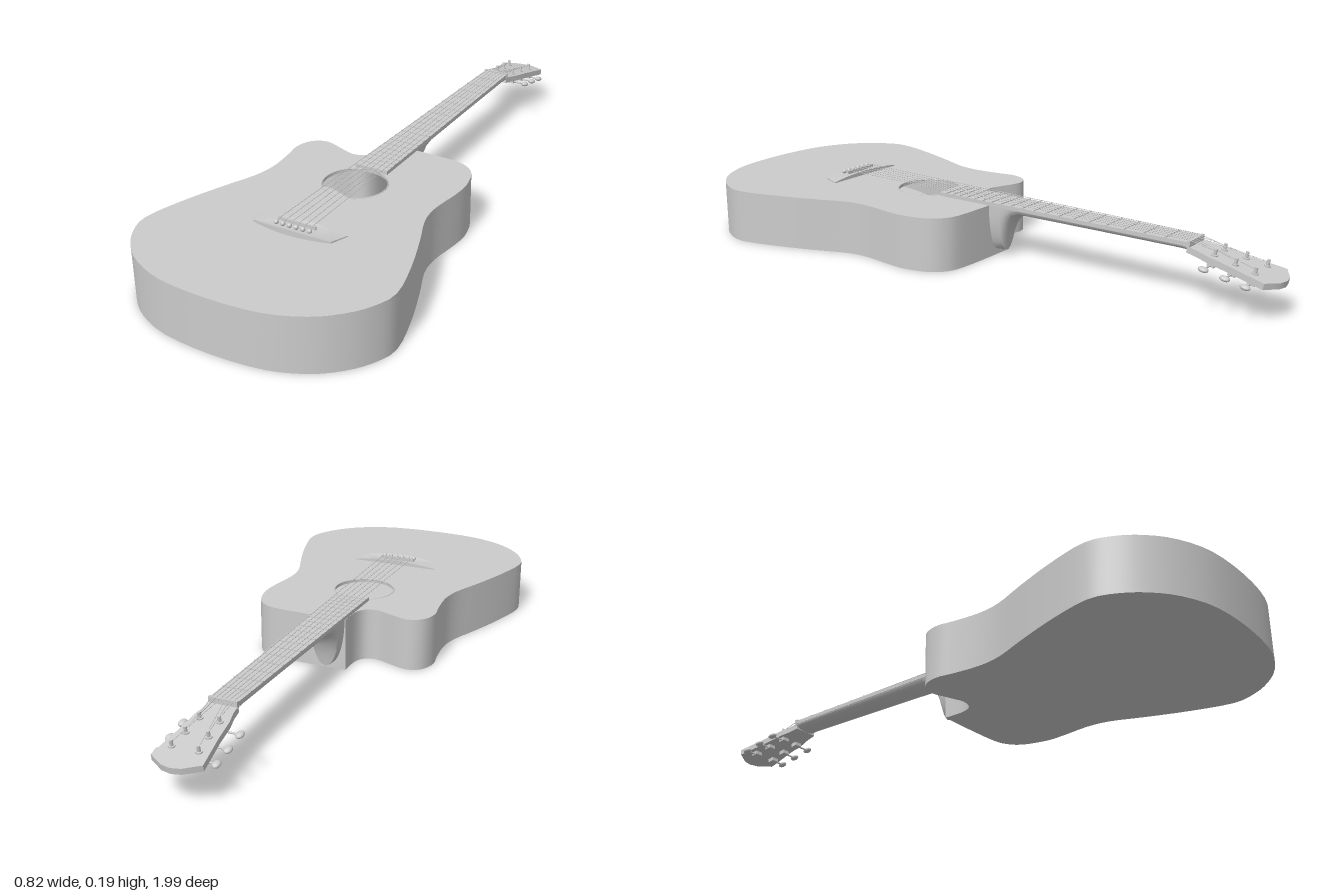
import * as THREE from 'three';
import { toCreasedNormals } from 'three/addons/utils/BufferGeometryUtils.js';

const material = new THREE.MeshStandardMaterial({ color: 0xcccccc, side: THREE.DoubleSide });
const TOP = 0.172, NUT_Z = -0.715, SADDLE_Z = 0.58, HOLE_Z = 0.27;

function add(parent, name, geometry, x = 0, y = 0, z = 0) {
  const mesh = new THREE.Mesh(geometry, material);
  mesh.name = name;
  mesh.position.set(x, y, z);
  parent.add(mesh);
  return mesh;
}

// Flat plate lying in the xz plane, drawn with shape y = -z
function plate(shape, thickness, y) {
  const g = new THREE.ExtrudeGeometry(shape, { depth: thickness, bevelEnabled: false, curveSegments: 32 });
  return toCreasedNormals(g.rotateX(-Math.PI / 2).translate(0, y, 0), 0.6);
}

function rod(parent, name, a, b, radius, sides = 6) {
  const d = b.clone().sub(a);
  const mesh = add(parent, name, new THREE.CylinderGeometry(radius, radius, d.length(), sides));
  mesh.position.copy(a).addScaledVector(d, 0.5);
  mesh.quaternion.setFromUnitVectors(new THREE.Vector3(0, 1, 0), d.normalize());
}

// Skin through rings of equal point count, with both ends capped
function loft(rings) {
  const n = rings[0].length, pos = rings.flat(2), idx = [];
  for (let r = 0; r < rings.length - 1; r++)
    for (let i = 0; i < n; i++) {
      const a = r * n + i, b = r * n + (i + 1) % n;
      idx.push(a, a + n, b, b, a + n, b + n);
    }
  const last = (rings.length - 1) * n;
  for (let i = 1; i < n - 1; i++) idx.push(0, i, i + 1, last, last + i + 1, last + i);
  const g = new THREE.BufferGeometry();
  g.setAttribute('position', new THREE.Float32BufferAttribute(pos, 3));
  g.setIndex(idx);
  return toCreasedNormals(g, 0.7);
}

function buildBody(parent) {
  // Outline with a cutaway on one side of the neck, as x, z pairs
  const outline = new THREE.SplineCurve([
    [-0.055, -0.02], [-0.056, 0.05], [-0.075, 0.09], [-0.115, 0.1], [-0.16, 0.085], [-0.23, 0.062],
    [-0.278, 0.085], [-0.297, 0.14], [-0.288, 0.2], [-0.28, 0.29], [-0.292, 0.37], [-0.333, 0.475],
    [-0.38, 0.61], [-0.41, 0.74], [-0.387, 0.82], [-0.34, 0.885], [-0.27, 0.94], [-0.16, 0.982], [0, 0.995],
    [0.16, 0.982], [0.27, 0.94], [0.34, 0.885], [0.387, 0.82], [0.41, 0.74], [0.38, 0.61], [0.333, 0.475],
    [0.292, 0.37], [0.283, 0.29], [0.295, 0.19], [0.297, 0.12], [0.275, 0.04], [0.235, 0], [0.18, -0.015],
    [0.055, -0.02],
  ].map(([x, z]) => new THREE.Vector2(x, -z))).getPoints(99);

  const soundboard = new THREE.Shape(outline);
  soundboard.holes.push(new THREE.Path().absarc(0, -HOLE_Z, 0.1, 0, Math.PI * 2, true));
  add(parent, 'soundboard', plate(soundboard, 0.01, TOP - 0.01));
  add(parent, 'back', plate(new THREE.Shape(outline), 0.006, 0));

  // Side wall: a strip bent around the outline
  const loop = [...outline, outline[0]];
  const wall = new THREE.PlaneGeometry(1, 1, loop.length - 1, 1);
  const p = wall.attributes.position;
  for (let i = 0; i < p.count; i++) {
    const v = loop[i % loop.length];
    p.setXYZ(i, v.x, i < loop.length ? TOP : 0, -v.y);
  }
  add(parent, 'sides', toCreasedNormals(wall, 0.6));
  const rosette = add(parent, 'soundHoleRim', new THREE.TorusGeometry(0.1, 0.002, 6, 48), 0, TOP, HOLE_Z);
  rosette.rotation.x = Math.PI / 2;
}

function buildNeck(parent) {
  // z, half width, underside height: from the heel out to the nut
  const stations = [
    [-0.012, 0.052, 0.015], [-0.055, 0.051, 0.02], [-0.064, 0.051, 0.06], [-0.078, 0.051, 0.1],
    [-0.098, 0.05, 0.132], [-0.13, 0.05, 0.15], [-0.4, 0.046, 0.152], [-0.69, 0.043, 0.154], [-0.735, 0.043, 0.153],
  ];
  add(parent, 'neck', loft(stations.map(([z, w, low]) => {
    const ring = [], top = z < -0.72 ? 0.168 : TOP + 0.001;
    for (let i = 0; i <= 14; i++) {
      const a = Math.PI * i / 14;
      ring.push([w * Math.cos(a), top - (top - low) * Math.sin(a), z]);
    }
    return ring;
  })));

  // Tapered fingerboard with frets at equal-tempered spacing
  const halfWidth = z => 0.043 + 0.013 * (z - NUT_Z) / 0.89;
  const board = new THREE.Shape([[-1, 0.175], [1, 0.175], [1, NUT_Z], [-1, NUT_Z]]
    .map(([s, z]) => new THREE.Vector2(s * halfWidth(z), -z)));
  add(parent, 'fingerboard', plate(board, 0.012, TOP));
  for (let n = 1; n <= 19; n++) {
    const z = NUT_Z + (SADDLE_Z - NUT_Z) * (1 - 2 ** (-n / 12));
    add(parent, 'fret', new THREE.BoxGeometry(halfWidth(z) * 2, 0.003, 0.004), 0, TOP + 0.013, z);
  }
  add(parent, 'nut', new THREE.BoxGeometry(0.088, 0.022, 0.009), 0, TOP + 0.005, NUT_Z - 0.003);
}

const TUNERS = [[0.03, 0.08], [0.034, 0.147], [0.04, 0.21]]; // post x, distance from nut

function buildHeadstock(parent) {
  const head = new THREE.Group();
  head.name = 'headstock';
  head.position.set(0, TOP, NUT_Z);
  head.rotation.x = -0.187;
  parent.add(head);

  const half = [[0.043, 0], [0.046, 0.035], [0.054, 0.07], [0.06, 0.14], [0.076, 0.255], [0.055, 0.268], [0.03, 0.284]];
  const points = [...half, [0, 0.29], ...half.map(([x, u]) => [-x, u]).reverse()];
  add(head, 'headPlate', plate(new THREE.Shape(points.map(q => new THREE.Vector2(...q))), 0.019, -0.019));

  for (const s of [-1, 1])
    for (const [x, u] of TUNERS) {
      add(head, 'tunerPost', new THREE.CylinderGeometry(0.005, 0.006, 0.042, 10), s * x, 0, -u);
      add(head, 'tunerBushing', new THREE.CylinderGeometry(0.01, 0.01, 0.004, 12), s * x, 0.002, -u);
      add(head, 'tunerHousing', new THREE.BoxGeometry(0.026, 0.014, 0.022), s * x, -0.025, -u);
      rod(head, 'tunerShaft', new THREE.Vector3(s * x, -0.027, -u), new THREE.Vector3(s * 0.085, -0.027, -u), 0.003);
      const button = add(head, 'tunerButton', new THREE.SphereGeometry(1, 12, 8), s * 0.086, -0.027, -u);
      button.scale.set(0.012, 0.008, 0.016);
    }
  head.updateMatrix();
  return head;
}

function buildBridge(parent) {
  // Straight edge toward the hole, curved edge behind, domed across its width
  const pts = [];
  for (let i = 0; i <= 16; i++) pts.push(new THREE.Vector2(-0.15 + 0.3 * i / 16, -0.555));
  for (let i = 0; i <= 16; i++) {
    const x = 0.13 - 0.26 * i / 16;
    pts.push(new THREE.Vector2(x, -0.63 + 0.02 * (x / 0.13) ** 2));
  }
  const g = plate(new THREE.Shape(pts), 1, 0);
  const p = g.attributes.position;
  for (let i = 0; i < p.count; i++)
    p.setY(i, TOP + p.getY(i) * (0.003 + 0.011 * (1 - (p.getX(i) / 0.15) ** 2)));
  add(parent, 'bridge', toCreasedNormals(g, 0.6));
  add(parent, 'saddle', new THREE.BoxGeometry(0.125, 0.014, 0.005), 0, TOP + 0.013, SADDLE_Z);
}

function buildStrings(parent, head) {
  for (let i = 0; i < 6; i++) {
    const t = i - 2.5, s = Math.sign(t);
    const [px, u] = TUNERS[i < 3 ? i : 5 - i];
    const path = [
      new THREE.Vector3(t * 0.0222, TOP + 0.014, 0.602),
      new THREE.Vector3(t * 0.0215, TOP + 0.021, SADDLE_Z),
      new THREE.Vector3(t * 0.0136, TOP + 0.0165, NUT_Z),
      new THREE.Vector3(s * px, 0.014, -u).applyMatrix4(head.matrix),
    ];
    for (let k = 0; k < 3; k++) rod(parent, 'string', path[k], path[k + 1], 0.001, 5);
    add(parent, 'bridgePin', new THREE.SphereGeometry(0.0075, 12, 8), t * 0.0222, TOP + 0.015, 0.602);
  }
}

export function createModel() {
  const guitar = new THREE.Group();
  guitar.name = 'acousticGuitar';
  buildBody(guitar);
  buildNeck(guitar);
  const head = buildHeadstock(guitar);
  buildBridge(guitar);
  buildStrings(guitar, head);
  return guitar;
}
